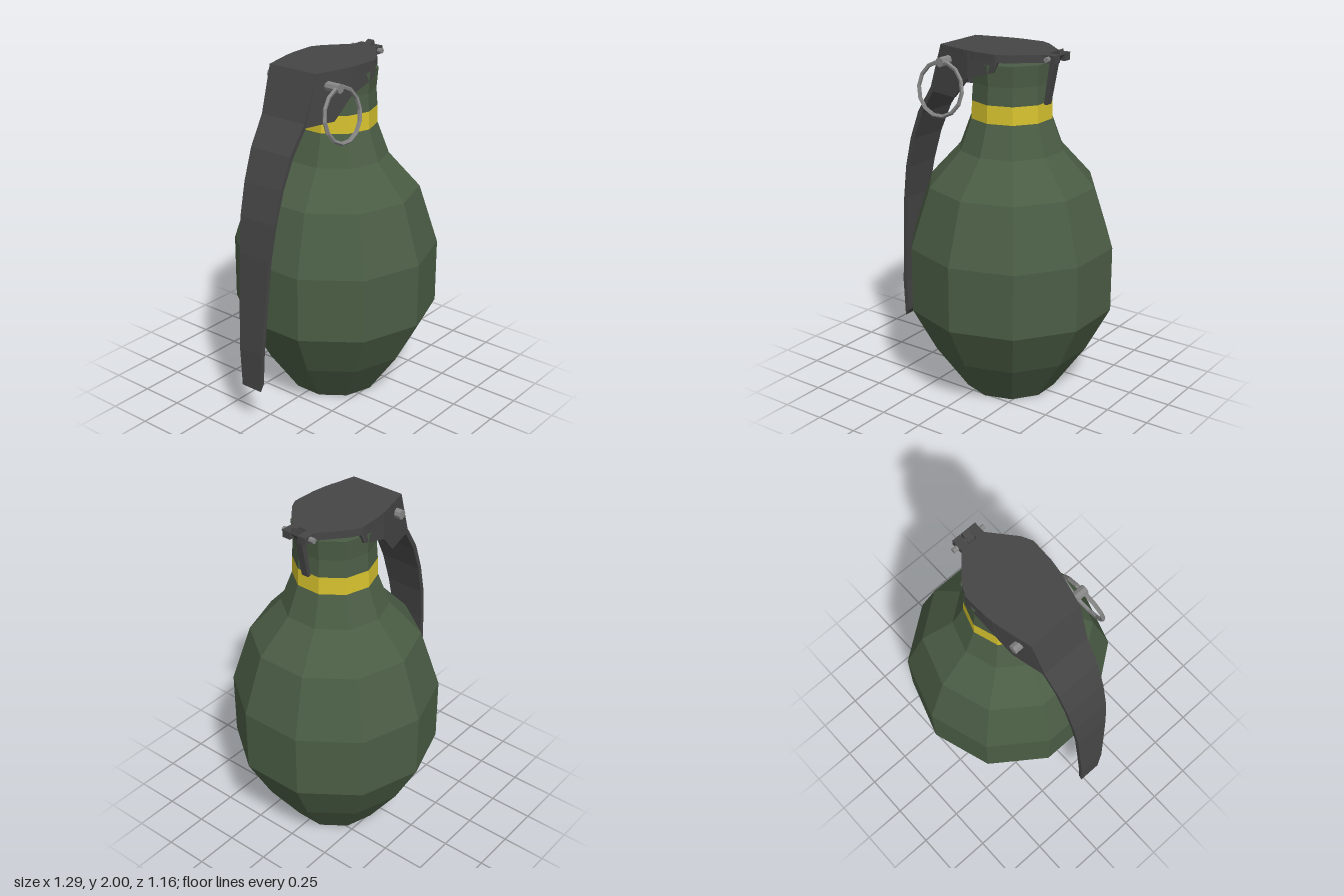
import * as THREE from 'three';

const material = (name, color) => {
  const m = new THREE.MeshStandardMaterial({ color });
  m.name = name;
  return m;
};

// Faceted mesh: unshared corners give one normal per face
function part(name, geometry, mat) {
  const g = geometry.index ? geometry.toNonIndexed() : geometry;
  g.computeVertexNormals();
  const mesh = new THREE.Mesh(g, mat);
  mesh.name = name;
  return mesh;
}

// Closed solid through a row of four-cornered sections
function loft(sections) {
  const index = [];
  const n = sections.length;
  for (let i = 0; i < n - 1; i++) {
    for (let j = 0; j < 4; j++) {
      const a = i * 4 + j, b = i * 4 + (j + 1) % 4;
      index.push(a, b, a + 4, b, b + 4, a + 4);
    }
  }
  const e = (n - 1) * 4;
  index.push(0, 2, 1, 0, 3, 2, e, e + 1, e + 2, e, e + 2, e + 3);
  // Turn the faces outward when the signed volume is negative
  const p = sections.flat().map((c) => new THREE.Vector3(...c));
  let volume = 0;
  for (let i = 0; i < index.length; i += 3) {
    volume += p[index[i]].dot(p[index[i + 1]].clone().cross(p[index[i + 2]]));
  }
  if (volume < 0) index.reverse();
  const g = new THREE.BufferGeometry().setFromPoints(p);
  g.setIndex(index);
  return g;
}

const extrude = (points, depth) => new THREE.ExtrudeGeometry(
  new THREE.Shape(points.map(([x, y]) => new THREE.Vector2(x, y))),
  { depth, bevelEnabled: false });

export function createModel() {
  const group = new THREE.Group();
  const green = material('olive green', 0x4b5d45);
  const yellow = material('band yellow', 0xd6c22e);
  const dark = material('dark grey metal', 0x454545);
  const steel = material('steel', 0x858585);

  // Ten-sided body, band and neck
  const turned = (name, profile, mat) => {
    const points = profile.map(([r, y]) => new THREE.Vector2(r, y));
    const mesh = part(name, new THREE.LatheGeometry(points, 10), mat);
    mesh.position.x = 0.09;
    group.add(mesh);
  };
  turned('body', [[0, 0], [0.262, 0], [0.445, 0.26], [0.582, 0.52], [0.582, 0.89],
    [0.472, 1.23], [0.295, 1.425], [0.23, 1.6]], green);
  turned('band', [[0.23, 1.6], [0.227, 1.7]], yellow);
  turned('neck', [[0.227, 1.7], [0.22, 1.8], [0.23, 1.915], [0, 1.915]], green);

  // Lever top plate with a notch for the hinge
  const half = [[-0.27, 0.16], [-0.08, 0.208], [0, 0.22], [0.14, 0.225], [0.2, 0.195],
    [0.34, 0.075], [0.41, 0.075], [0.41, 0.025], [0.34, 0.025]];
  const outline = [...half, ...half.map(([x, z]) => [x, -z]).reverse()];
  const plate = extrude(outline, 0.042);
  plate.rotateX(-Math.PI / 2).translate(0, 1.933, 0);
  group.add(part('leverTop', plate, dark));

  // Lever side skirts: top x, top z, bottom x, bottom y, bottom z
  const skirt = [[-0.27, 0.16, -0.345, 1.7, 0.145], [-0.17, 0.187, -0.16, 1.7, 0.19],
    [-0.05, 0.214, -0.05, 1.82, 0.217], [0.13, 0.225, 0.13, 1.88, 0.228],
    [0.15, 0.222, 0.15, 1.933, 0.222]];
  for (const s of [1, -1]) {
    const t = 0.018;
    group.add(part(s > 0 ? 'frontSkirt' : 'backSkirt', loft(skirt.map(([xt, zt, xb, yb, zb]) => [
      [xt, 1.97, s * zt], [xb, yb, s * zb], [xb, yb, s * (zb - t)], [xt, 1.97, s * (zt - t)],
    ])), dark));
  }

  // Curved handle: outer x, outer y, inner x, inner y, half width
  const handle = [[-0.27, 1.975, -0.245, 1.945, 0.16], [-0.355, 1.725, -0.328, 1.72, 0.146],
    [-0.457, 1.57, -0.432, 1.56, 0.135], [-0.525, 1.4, -0.5, 1.395, 0.126],
    [-0.573, 1.22, -0.548, 1.215, 0.117], [-0.605, 1.02, -0.58, 1.02, 0.104],
    [-0.627, 0.75, -0.602, 0.75, 0.092], [-0.648, 0.47, -0.623, 0.47, 0.08],
    [-0.648, 0.24, -0.623, 0.28, 0.068]];
  group.add(part('leverHandle', loft(handle.map(([xo, yo, xi, yi, w]) => [
    [xo, yo, w], [xo, yo, -w], [xi, yi, -w], [xi, yi, w],
  ])), dark));

  // Hinge latch hanging beside the neck
  const latch = extrude([[0.312, 1.695], [0.332, 1.695], [0.378, 1.93], [0.41, 1.97],
    [0.4, 2], [0.348, 1.972], [0.345, 1.93]], 0.042);
  latch.translate(0, 0, -0.021);
  group.add(part('hingeLatch', latch, dark));

  // Pins running across the lever
  const pin = (name, r, x, y, z0, z1) => {
    const g = new THREE.CylinderGeometry(r, r, z1 - z0, 8);
    g.rotateX(Math.PI / 2).translate(x, y, (z0 + z1) / 2);
    group.add(part(name, g, steel));
  };
  pin('hingePin', 0.015, 0.372, 1.955, -0.105, 0.1);
  pin('safetyPin', 0.027, -0.2, 1.9, -0.22, 0.262);

  // Pull ring, hanging at a slight tilt
  const ring = part('pullRing', new THREE.TorusGeometry(0.147, 0.012, 5, 14), steel);
  ring.position.set(-0.192, 1.757, 0.268);
  ring.rotation.x = -0.16;
  group.add(ring);

  return group;
}
